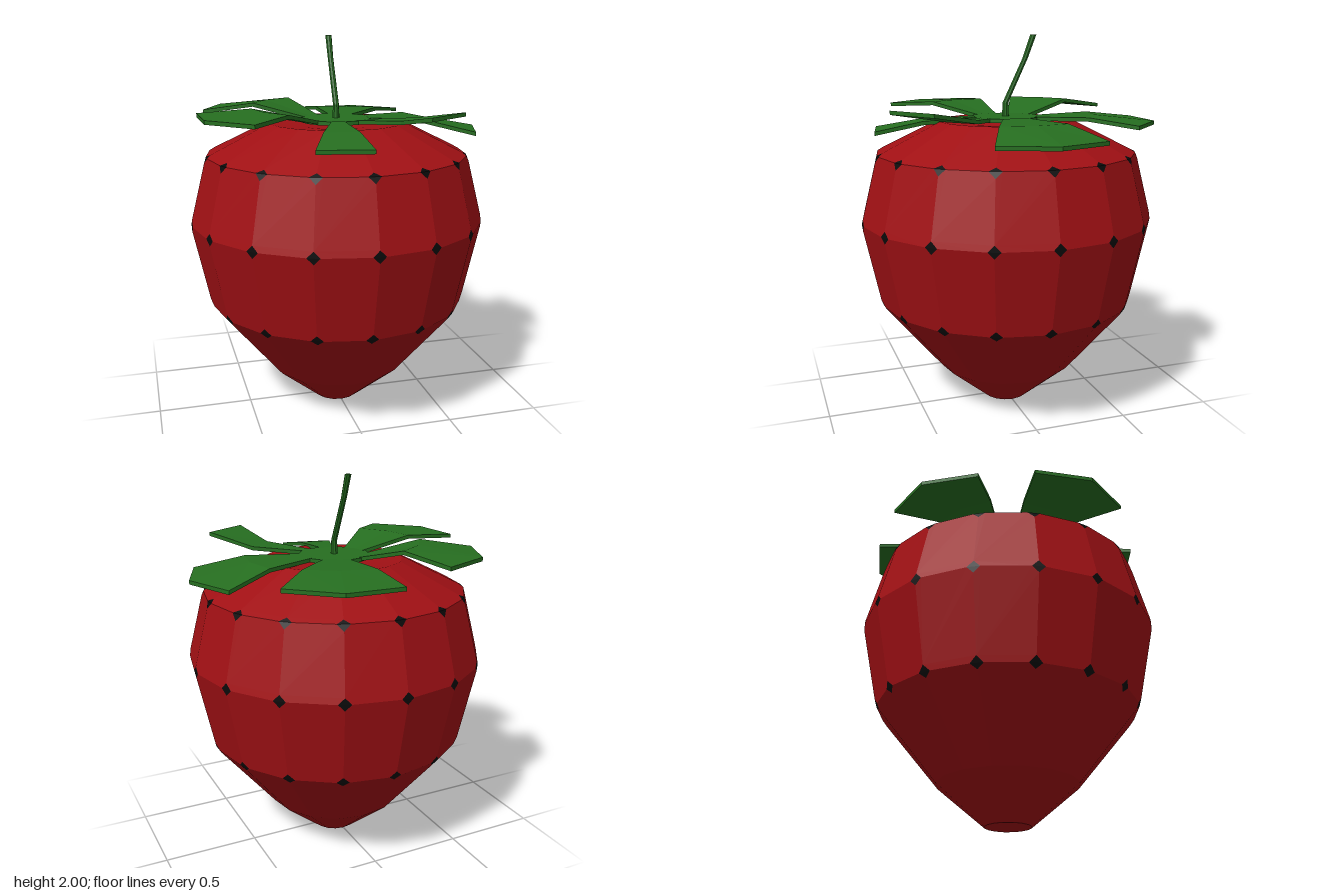
import * as THREE from 'three';

const SIDES = 16;
const STEP = (Math.PI * 2) / SIDES;
const rad = THREE.MathUtils.degToRad;

const RED = new THREE.MeshStandardMaterial({ color: 0xa01014, flatShading: true });
const GREEN = new THREE.MeshStandardMaterial({ color: 0x266e20, flatShading: true });
const BLACK = new THREE.MeshStandardMaterial({ color: 0x0a0a0a, flatShading: true });

// Point at an angle measured from +z towards +x
const polar = (r, y, a) => new THREE.Vector3(r * Math.sin(a), y, r * Math.cos(a));

// Flat-shaded mesh from a list of convex polygons
function polyMesh(name, polys, material) {
  const pos = [];
  for (const p of polys) {
    for (let i = 1; i < p.length - 1; i++) {
      const tri = new THREE.Triangle(p[0], p[i], p[i + 1]);
      if (tri.getArea() < 1e-8) continue;
      pos.push(...p[0].toArray(), ...p[i].toArray(), ...p[i + 1].toArray());
    }
  }
  const geo = new THREE.BufferGeometry();
  geo.setAttribute('position', new THREE.Float32BufferAttribute(pos, 3));
  geo.computeVertexNormals();
  const mesh = new THREE.Mesh(geo, material);
  mesh.name = name;
  return mesh;
}

// Faceted fruit whose corners on the seeded rings are cut off by small diamonds
function buildFruit() {
  // radius, height, seeded
  const rings = [
    [0, 0], [0.12, 0], [0.37, 0.21], [0.69, 0.595, true], [0.785, 1.04, true],
    [0.695, 1.395, true], [0.36, 1.56], [0.2, 1.545], [0, 1.52],
  ];
  const cut = 0.033;
  const corner = (i, j) => polar(rings[i][0], rings[i][1], j * STEP);
  const towards = (p, q) => p.clone().add(q.clone().sub(p).setLength(cut));
  const panels = [], seeds = [];

  for (let j = 0; j < SIDES; j++) {
    for (let i = 0; i < rings.length - 1; i++) {
      const ids = [[i, j], [i, j + 1], [i + 1, j + 1], [i + 1, j]];
      const pts = ids.map(([a, b]) => corner(a, b));
      const poly = [];
      pts.forEach((p, k) => {
        if (rings[ids[k][0]][2]) {
          poly.push(towards(p, pts[(k + 3) % 4]), towards(p, pts[(k + 1) % 4]));
        } else poly.push(p);
      });
      panels.push(poly);

      if (rings[i][2]) {
        const v = corner(i, j);
        const around = [[i, j - 1], [i - 1, j], [i, j + 1], [i + 1, j]];
        seeds.push(around.map(([a, b]) => towards(v, corner(a, b))));
      }
    }
  }
  return [polyMesh('fruitBody', panels, RED), polyMesh('seeds', seeds, BLACK)];
}

// Leaf: a thin radial wedge; stations are [radius, height, sideways twist in degrees]
function buildLeaf({ from, cols, stations }) {
  const thick = 0.02;
  const last = stations.length - 1;
  const loops = stations.map(([r, y, twist = 0], s) => {
    const top = [], bottom = [];
    for (let k = 0; k <= cols; k++) {
      const inner = cols === 2 && k === 1 && s === last;
      const a = rad(from + twist) + k * STEP;
      const rk = inner ? r + 0.05 : r;
      top.push(polar(rk, y, a));
      bottom.unshift(polar(rk, y - thick, a));
    }
    return [...top, ...bottom];
  });
  const n = loops[0].length;
  const polys = [];
  for (let s = 0; s < last; s++) {
    for (let i = 0; i < n; i++) {
      const j = (i + 1) % n;
      polys.push([loops[s][i], loops[s + 1][i], loops[s + 1][j], loops[s][j]]);
    }
  }
  // outer end
  const end = loops[last];
  for (let k = 0; k < cols; k++) {
    polys.push([end[k], end[n - 1 - k], end[n - 2 - k], end[k + 1]]);
  }
  return polyMesh('leaf', polys, GREEN);
}

// Thin bent stalk from square-on rings along a short path
function buildStem() {
  // height, z, radius
  const path = [[1.56, 0, 0.02], [1.65, 0, 0.016], [1.88, -0.11, 0.015], [2.0, -0.155, 0.017]];
  const n = 8;
  const loops = path.map(([y, z, r]) => Array.from({ length: n }, (_, k) => {
    const p = polar(r, y, (k / n) * Math.PI * 2);
    p.z += z;
    return p;
  }));
  const polys = [loops[path.length - 1]];
  for (let s = 0; s < path.length - 1; s++) {
    for (let k = 0; k < n; k++) {
      const m = (k + 1) % n;
      polys.push([loops[s][k], loops[s][m], loops[s + 1][m], loops[s + 1][k]]);
    }
  }
  return polyMesh('stem', polys, GREEN);
}

export function createModel() {
  const model = new THREE.Group();
  model.name = 'strawberry';
  model.add(...buildFruit());

  // Leafy cap: centre disc and six leaves, each bent differently
  const cap = new THREE.Group();
  cap.name = 'leafCap';
  const disc = new THREE.Mesh(new THREE.CylinderGeometry(0.185, 0.185, 0.02, SIDES), GREEN);
  disc.name = 'capCentre';
  disc.position.y = 1.57;
  cap.add(disc);
  const base = [0.17, 1.581];
  const leaves = [
    { from: 135, cols: 2, stations: [base, [0.47, 1.59], [0.735, 1.56]] },
    { from: 67.5, cols: 2, stations: [base, [0.47, 1.575], [0.735, 1.515]] },
    { from: 22.5, cols: 1, stations: [base, [0.44, 1.6, 9], [0.725, 1.65]] },
    { from: -22.5, cols: 1, stations: [base, [0.45, 1.565], [0.7, 1.52]] },
    { from: -90, cols: 2, stations: [base, [0.45, 1.64], [0.73, 1.625]] },
    { from: -157.5, cols: 2, stations: [base, [0.45, 1.65], [0.725, 1.61]] },
  ];
  leaves.forEach((leaf) => cap.add(buildLeaf(leaf)));
  model.add(cap, buildStem());
  return model;
}
